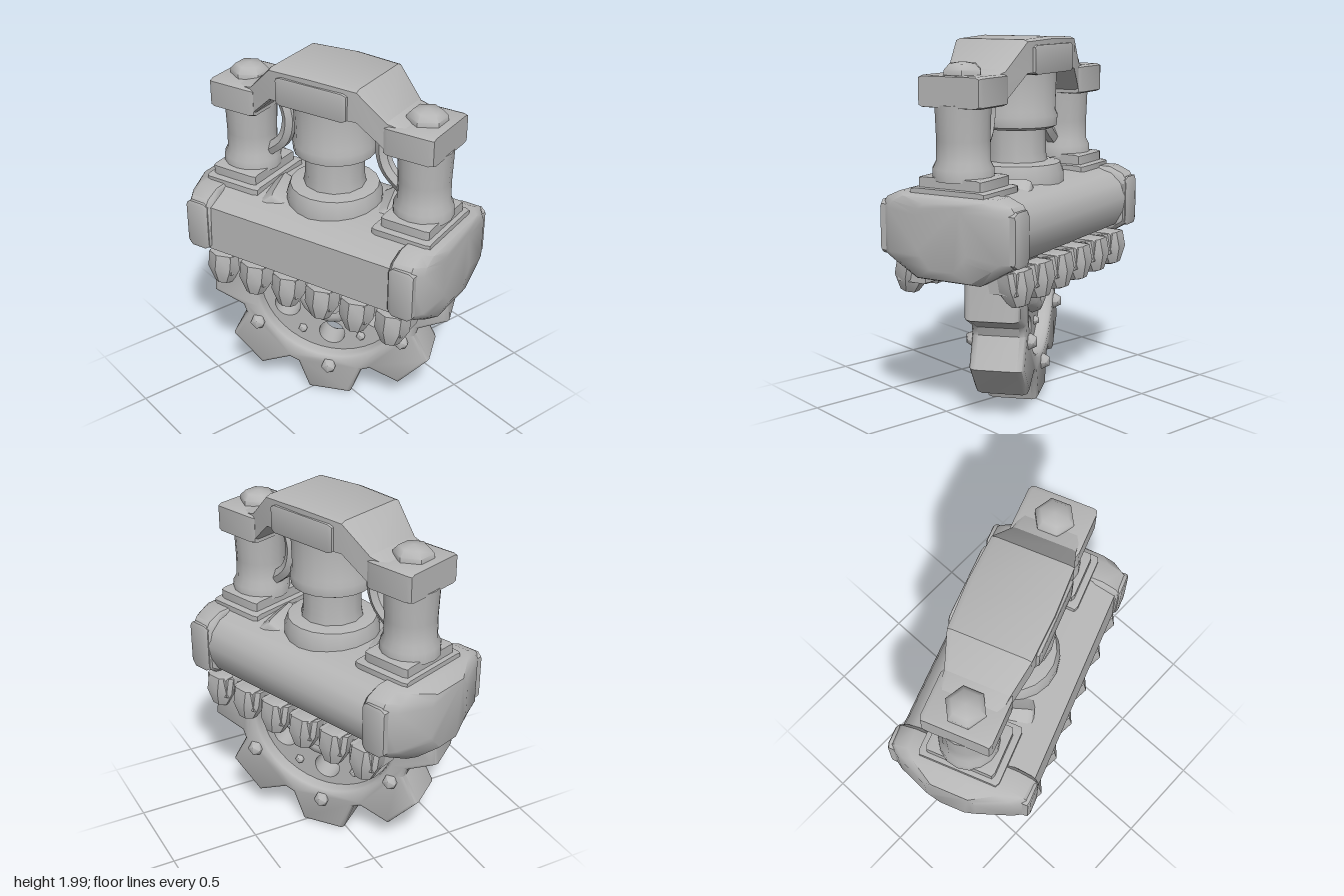
import * as THREE from 'three';
import { toCreasedNormals } from 'three/addons/utils/BufferGeometryUtils.js';

const grey = new THREE.MeshStandardMaterial({ color: 0xb6b6b6 });
grey.name = 'castGrey';

function add(parent, name, geo, x = 0, y = 0, z = 0, crease = 0.8) {
  const mesh = new THREE.Mesh(toCreasedNormals(geo, crease), grey);
  mesh.name = name;
  mesh.position.set(x, y, z);
  parent.add(mesh);
  return mesh;
}

// Loft a [z, y] loop along x. Station: [x, zScale, yScale, yCentre]
function loft(profile, stations) {
  const pos = [], idx = [], n = profile.length;
  for (const [x, sz, sy, cy] of stations)
    for (const [z, y] of profile) pos.push(x, cy + y * sy, z * sz);
  for (let s = 0; s < stations.length - 1; s++)
    for (let i = 0; i < n; i++) {
      const j = (i + 1) % n, a = s * n + i, b = s * n + j;
      idx.push(a, b, b + n, a, b + n, a + n);
    }
  const e = (stations.length - 1) * n;
  for (let i = 1; i < n - 1; i++) idx.push(0, i + 1, i, e, e + i, e + i + 1);
  const g = new THREE.BufferGeometry();
  g.setAttribute('position', new THREE.Float32BufferAttribute(pos, 3));
  g.setIndex(idx);
  return g;
}

const lathe = (pts, sides = 16) =>
  new THREE.LatheGeometry(pts.map(p => new THREE.Vector2(...p)), sides);

// Square section with chamfered corners, one unit half-size
const c = 0.88;
const chamfered = [[-c, 1], [c, 1], [1, c], [1, -c], [c, -1], [-c, -1], [-1, -c], [-1, c]];
const block = (w, h, d, taper = 0.95) => loft(chamfered, [
  [-w / 2, d / 2 * taper, h / 2 * taper, 0], [-w / 2 + 0.025, d / 2, h / 2, 0],
  [w / 2 - 0.025, d / 2, h / 2, 0], [w / 2, d / 2 * taper, h / 2 * taper, 0]]);

function buildGear() {
  const gear = new THREE.Group();
  gear.name = 'gear';
  // Toothed rim; the top, inside the beam, has no tooth
  const outline = new THREE.Shape();
  const at = (r, a, first) => outline[first ? 'moveTo' : 'lineTo'](r * Math.cos(a), r * Math.sin(a));
  for (let k = -3; k <= 3; k++) {
    const a = -Math.PI / 2 + k * 0.825;
    at(0.505, a - 0.34, k === -3);
    at(0.65, a - 0.165);
    at(0.65, a + 0.165);
    at(0.505, a + 0.34);
  }
  const bore = new THREE.Path();
  bore.absarc(0, 0, 0.44, 0, Math.PI * 2, true);
  outline.holes.push(bore);
  add(gear, 'toothedRim', new THREE.ExtrudeGeometry(outline, {
    depth: 0.22, bevelThickness: 0.035, bevelSize: 0.025, bevelSegments: 2, curveSegments: 20,
  }), 0, 0, -0.11);
  // Pierced web
  const disc = new THREE.Shape().absarc(0, 0, 0.45, 0, Math.PI * 2);
  for (let k = 0; k < 6; k++) {
    const a = -Math.PI / 2 + k * Math.PI / 3, hole = new THREE.Path();
    hole.absarc(0.3 * Math.cos(a), 0.3 * Math.sin(a), 0.075, 0, Math.PI * 2, true);
    disc.holes.push(hole);
  }
  add(gear, 'web', new THREE.ExtrudeGeometry(disc, { depth: 0.14, bevelEnabled: false, curveSegments: 12 }), 0, 0, -0.07);
  // Hub
  add(gear, 'hub', new THREE.CylinderGeometry(0.1, 0.1, 0.36, 12).rotateX(Math.PI / 2));
  for (const s of [-1, 1]) {
    add(gear, 'hubRing', new THREE.TorusGeometry(0.14, 0.055, 8, 20), 0, 0, s * 0.1);
    // Rim bolts and small web rivets
    for (let k = 0; k < 6; k++) {
      const a = -Math.PI / 2 + k * Math.PI / 3, b = a + Math.PI / 6;
      add(gear, 'rimBolt', new THREE.IcosahedronGeometry(0.046, 0),
        0.48 * Math.cos(a), 0.48 * Math.sin(a), s * 0.15);
      add(gear, 'webRivet', new THREE.IcosahedronGeometry(0.028, 0),
        0.34 * Math.cos(b), 0.34 * Math.sin(b), s * 0.075);
    }
  }
  return gear;
}

// One end of the press: cap, platform, post, clamp, brace; built on +x
function buildEnd(name, bulge) {
  const end = new THREE.Group();
  end.name = name;
  const capLoop = [[-0.29, 0.22], [0.29, 0.22], [0.37, 0.185], [0.4, 0.14], [0.4, -0.1],
    [0.34, -0.14], [0.19, -0.225], [-0.19, -0.225], [-0.34, -0.14], [-0.4, -0.1], [-0.4, 0.14], [-0.37, 0.185]];
  add(end, 'endCap', loft(capLoop, [[0.56, 0.96, 0.9, 1.02], [0.58, 1, 1, 1.02],
    [0.69, 0.99, 1, 1.02], [0.735, 0.82, 0.93, 1.02], [bulge, 0.36, 0.75, 1.03]]));
  for (const s of [-1, 1])
    add(end, 'cornerClasp', block(0.14, 0.28, 0.1, 0.86), 0.64, 1.045, s * 0.355);
  // Stepped platform
  add(end, 'platform', block(0.34, 0.1, 0.45), 0.53, 1.215, 0);
  add(end, 'platformStep', block(0.28, 0.1, 0.38), 0.535, 1.27, 0);
  // Post
  add(end, 'post', lathe([[0, 1.3], [0.16, 1.3], [0.158, 1.36], [0.14, 1.395], [0.138, 1.5],
    [0.145, 1.68], [0, 1.68]]), 0.54, 0, 0);
  // Clamp and its bolt
  add(end, 'clamp', block(0.28, 0.16, 0.37), 0.535, 1.745, 0);
  add(end, 'clampBolt', lathe([[0, 1.81], [0.105, 1.81], [0.105, 1.85], [0.075, 1.88], [0, 1.89]], 6), 0.54, 0, 0);
  // Curved brace inside the post
  const path = new THREE.CatmullRomCurve3([
    [0.33, 1.75, 0], [0.29, 1.63, 0], [0.32, 1.5, 0], [0.43, 1.4, 0],
  ].map(p => new THREE.Vector3(...p)));
  add(end, 'brace', new THREE.TubeGeometry(path, 10, 0.04, 6));
  return end;
}

export function createModel() {
  const model = new THREE.Group();
  model.name = 'gearPress';
  const press = new THREE.Group();
  press.name = 'press';
  press.rotation.y = 0.34;
  model.add(press);

  // Main beam, flat in front and rounded behind
  const beam = [[0, 0.225], [0.24, 0.205], [0.375, 0.145], [0.385, -0.11], [0.28, -0.15], [-0.25, -0.15],
    [-0.34, -0.11], [-0.385, -0.03], [-0.395, 0.05], [-0.37, 0.13], [-0.31, 0.185], [-0.22, 0.21]];
  add(press, 'beam', loft(beam, [[-0.62, 1, 1, 1.02], [0.62, 1, 1, 1.02]]));

  const left = buildEnd('leftEnd', 0.755), right = buildEnd('rightEnd', 0.81);
  right.rotation.y = Math.PI;
  press.add(left, right);

  // Arched bridge joining the clamps
  add(press, 'bridge', loft(chamfered, [[-0.5, 0.16, 0.075, 1.75], [-0.41, 0.17, 0.085, 1.76],
    [-0.26, 0.215, 0.09, 1.9], [0, 0.225, 0.1, 1.9], [0.26, 0.215, 0.09, 1.9],
    [0.41, 0.17, 0.085, 1.76], [0.5, 0.16, 0.075, 1.75]]), 0, 0, 0, 0.5);
  for (const s of [-1, 1])
    add(press, 'bridgePlate', block(0.42, 0.15, 0.05, 0.85), 0, 1.885, s * 0.212);

  // Piston: sleeve with lip, rod, and collar
  add(press, 'pistonSleeve', lathe([[0, 1.51], [0.19, 1.51], [0.22, 1.525], [0.225, 1.58],
    [0.212, 1.61], [0.22, 1.84], [0, 1.84]], 20));
  add(press, 'pistonRod', lathe([[0, 1.28], [0.18, 1.28], [0.16, 1.38], [0.16, 1.53], [0, 1.53]], 12));
  add(press, 'pistonCollar', lathe([[0, 1.2], [0.26, 1.2], [0.26, 1.27], [0.24, 1.325], [0.17, 1.335], [0, 1.335]], 20));

  // Two rows of claws under the beam
  for (const s of [-1, 1])
    for (let i = 0; i < 6; i++) {
      const x = -0.53 + i * 0.217;
      add(press, 'clawKnuckle', block(0.15, 0.13, 0.19), x, 0.81, s * 0.27);
      const claw = add(press, 'claw', lathe([[0, -0.125], [0.05, -0.115], [0.095, -0.03], [0.095, 0.06], [0, 0.09]], 7), x, 0.8, s * 0.31);
      claw.rotation.x = -s * 0.2;
    }

  // Gear turned away from the beam
  const gear = buildGear();
  gear.position.y = 0.675;
  gear.rotation.y = 0.67;
  model.add(gear);
  return model;
}
